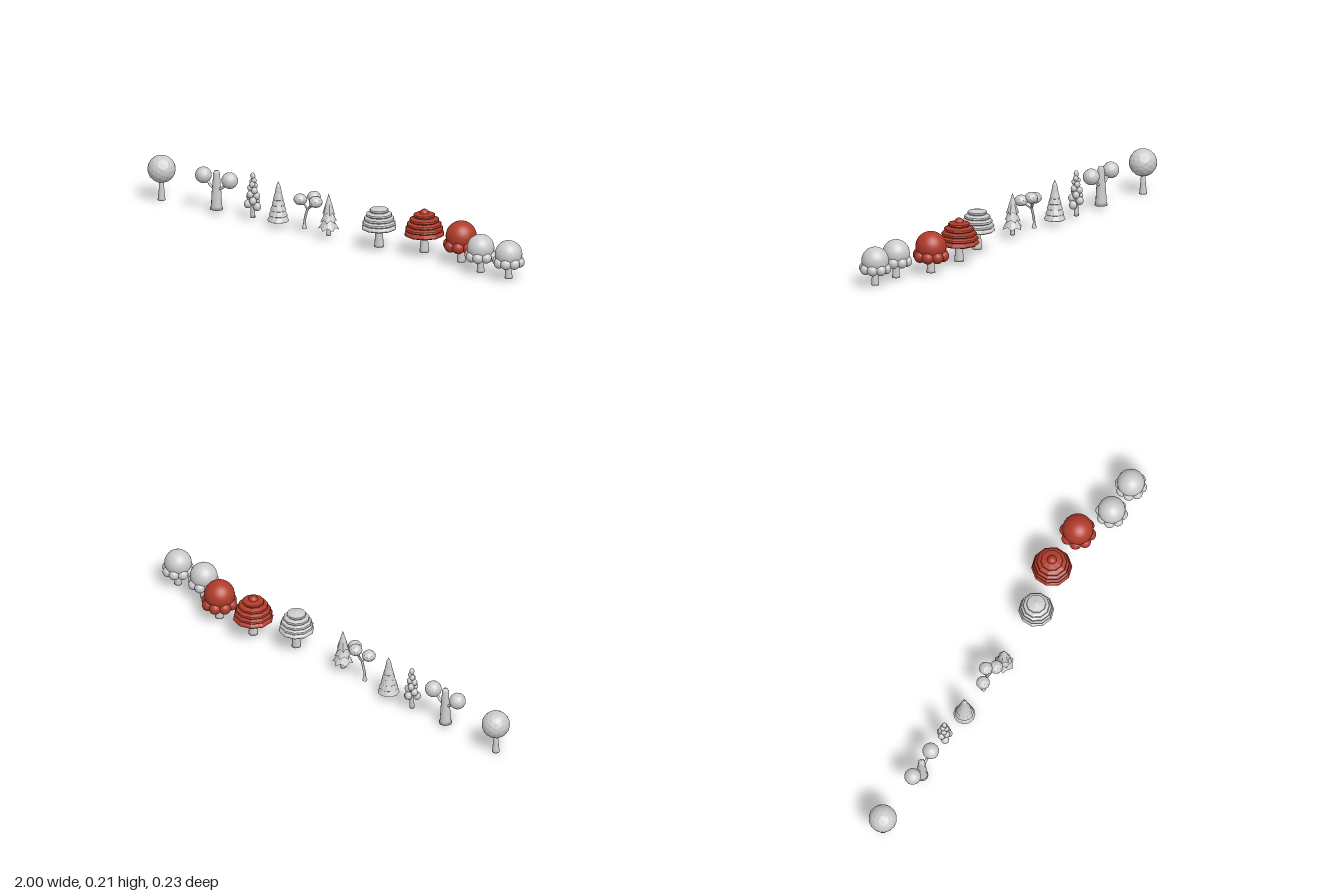
import * as THREE from 'three';

const grey = new THREE.MeshStandardMaterial({ color: 0xcccccc, side: THREE.DoubleSide });
const greyFlat = new THREE.MeshStandardMaterial({ color: 0xcccccc, side: THREE.DoubleSide, flatShading: true });
const red = new THREE.MeshStandardMaterial({ color: 0xb03a2a, side: THREE.DoubleSide });
const redFlat = new THREE.MeshStandardMaterial({ color: 0xb03a2a, side: THREE.DoubleSide, flatShading: true });

const V = (x, y, z = 0) => new THREE.Vector3(x, y, z);

function add(group, name, geometry, material, x = 0, y = 0, z = 0) {
  const mesh = new THREE.Mesh(geometry, material);
  mesh.name = name;
  mesh.position.set(x, y, z);
  group.add(mesh);
  return mesh;
}

function plant(root, name, x, z) {
  const g = new THREE.Group();
  g.name = name;
  g.position.set(x, 0, z);
  root.add(g);
  return g;
}

const lathe = (points, sides) =>
  new THREE.LatheGeometry(points.map(([r, y]) => new THREE.Vector2(r, y)), sides);

// Flared trunk from y0 to y1
function trunk(g, y0, y1, r0, r1, sides = 12, material = grey) {
  const h = y1 - y0;
  add(g, 'trunk', lathe([[0, y0], [r0, y0], [r0 * 0.95, y0 + h * 0.08], [(r0 + r1) / 2.1, y0 + h * 0.45],
    [r1, y1], [0, y1]], sides), material);
}

const limb = (points, radius) => new THREE.TubeGeometry(new THREE.CatmullRomCurve3(points), 10, radius, 7);

// Round tree with a faceted crown
function ballTree(root) {
  const g = plant(root, 'roundTree', -0.939, 0.013);
  trunk(g, 0, 0.09, 0.017, 0.009);
  add(g, 'crown', new THREE.IcosahedronGeometry(0.061, 2), greyFlat, 0, 0.139);
}

// Stout trunk carrying a foliage ball on each side
function forkedTree(root) {
  const g = plant(root, 'forkedTree', -0.644, 0.016);
  add(g, 'trunk', lathe([[0, 0.015], [0.029, 0.015], [0.024, 0.03], [0.021, 0.09], [0.017, 0.13],
    [0.015, 0.175], [0.01, 0.186], [0, 0.188]], 12), grey);
  for (const s of [-1, 1]) {
    add(g, 'branch', limb([V(0, 0.1), V(s * 0.03, 0.115), V(s * 0.048, 0.135), V(s * 0.062, 0.15)], 0.006), grey);
    add(g, 'foliageBall', new THREE.IcosahedronGeometry(0.036, 2), greyFlat, s * 0.07, 0.155);
  }
}

// Slender tree of clustered foliage balls narrowing to the top
function clusterTree(root) {
  const g = plant(root, 'clusterTree', -0.457, 0.008);
  trunk(g, 0.01, 0.18, 0.011, 0.005, 8);
  for (let i = 0; i < 14; i++) {
    const t = i / 13, a = i * 2.4;
    const ring = 0.023 * (1 - t * 0.75), r = 0.0175 - 0.006 * t;
    const ball = add(g, 'foliageBall', new THREE.SphereGeometry(r, 12, 8), grey,
      Math.cos(a) * ring, 0.062 + t * 0.115, Math.sin(a) * ring);
    ball.scale.y = 1.1;
  }
  add(g, 'tipBall', new THREE.SphereGeometry(0.011, 12, 8), grey, 0, 0.196).scale.y = 1.35;
}

// Conifer of nested hollow cones
function tieredConifer(root) {
  const g = plant(root, 'tieredConifer', -0.315, 0.016);
  trunk(g, 0.015, 0.14, 0.012, 0.004, 8);
  const tiers = 6;
  for (let i = 0; i < tiers; i++) {
    const r = 0.047 - i * 0.0062, y = 0.026 + i * 0.0235;
    add(g, 'tier', lathe([[r * 0.94, y - 0.002], [r, y], [r * 0.86, y + 0.013],
      [r * 0.6, y + 0.035], [i === tiers - 1 ? 0 : r * 0.45, y + 0.057]], 12), greyFlat);
  }
}

// Thin curved stem splitting towards three faceted foliage balls
function branchTree(root) {
  const g = plant(root, 'branchingTree', -0.155, 0.02);
  const fork = V(-0.002, 0.105);
  add(g, 'stem', limb([V(-0.018, 0.018), V(-0.017, 0.05), V(-0.01, 0.08), fork], 0.0055), grey);
  add(g, 'stemFoot', new THREE.CylinderGeometry(0.006, 0.011, 0.02, 8), grey, -0.018, 0.027);
  for (const [x, y, z] of [[-0.034, 0.146, 0.008], [0.022, 0.162, -0.015], [0.054, 0.152, 0.016]]) {
    add(g, 'branch', limb([fork, V(x * 0.45, 0.125, z * 0.4), V(x, y, z)], 0.004), grey);
    add(g, 'foliageBall', new THREE.IcosahedronGeometry(0.03, 1), greyFlat, x, y, z).scale.y = 0.85;
  }
}

// Conifer of hollow skirts with jagged hems
function jaggedConifer(root) {
  const g = plant(root, 'jaggedConifer', -0.035, 0.032);
  trunk(g, 0.015, 0.12, 0.011, 0.006, 8);
  const tiers = [[0.046, 0.042, 0.115], [0.037, 0.075, 0.155], [0.029, 0.108, 0.202]];
  tiers.forEach(([r, y0, y1], k) => {
    const geo = new THREE.ConeGeometry(r, y1 - y0, 12, 2, true);
    const p = geo.attributes.position;
    for (let i = 0; i < p.count; i++) {
      const hem = p.getY(i) < -(y1 - y0) * 0.4;
      const spike = Math.round(Math.atan2(p.getX(i), p.getZ(i)) / (Math.PI / 6)) % 2 !== 0;
      if (hem && spike) p.setXYZ(i, p.getX(i) * 0.8, p.getY(i) + 0.012, p.getZ(i) * 0.8);
    }
    add(g, 'skirt', geo, greyFlat, 0, (y0 + y1) / 2).rotation.y = k * 0.4;
  });
}

// Mushroom whose cap is a stack of hollow, round-edged tiers
function tieredMushroom(root, name, x, z, R, y0, y1, mat, knob) {
  const g = plant(root, name, x, z);
  trunk(g, 0.012, y0 + 0.05, 0.021, 0.013);
  const tiers = 5, step = (y1 - y0) / tiers;
  for (let i = 0; i < tiers; i++) {
    const r = R * Math.sqrt(1 - Math.pow(i / tiers, 1.6)), y = y0 + i * step;
    const top = R * Math.sqrt(1 - Math.pow((i + 1) / tiers, 1.6));
    add(g, 'capTier', lathe([[r * 0.8, y + step * 0.25], [r * 0.94, y], [r, y + step * 0.25],
      [r * 0.97, y + step * 0.6], [top * 0.85, y + step * 1.12]], 10), mat);
  }
  if (knob) add(g, 'capKnob', new THREE.SphereGeometry(0.021, 14, 10), red, 0, y1 - 0.006);
}

// Domed mushroom with a ring of lobes around the cap edge
function lobedMushroom(root, name, x, z, s, y, mat) {
  const g = plant(root, name, x, z);
  trunk(g, 0.006, y, 0.017 * s, 0.011 * s);
  add(g, 'cap', new THREE.SphereGeometry(0.059 * s, 32, 20), mat, 0, y);
  for (let i = 0; i < 8; i++) {
    const a = (i + 0.5) * Math.PI / 4;
    add(g, 'lobe', new THREE.SphereGeometry(0.0235 * s, 16, 12), mat,
      Math.cos(a) * 0.047 * s, y - 0.034 * s, Math.sin(a) * 0.047 * s);
  }
}

export function createModel() {
  const root = new THREE.Group();
  root.name = 'treeAndMushroomRow';
  ballTree(root);
  forkedTree(root);
  clusterTree(root);
  tieredConifer(root);
  branchTree(root);
  jaggedConifer(root);
  tieredMushroom(root, 'greyTieredMushroom', 0.227, 0.024, 0.077, 0.092, 0.187, greyFlat, false);
  tieredMushroom(root, 'redTieredMushroom', 0.428, -0.03, 0.088, 0.088, 0.189, redFlat, true);
  lobedMushroom(root, 'redLobedMushroom', 0.626, -0.028, 1.13, 0.12, red);
  lobedMushroom(root, 'greyLobedMushroom', 0.781, 0.042, 1, 0.114, grey);
  lobedMushroom(root, 'greyLobedMushroom', 0.93, 0.042, 1, 0.114, grey);
  return root;
}
